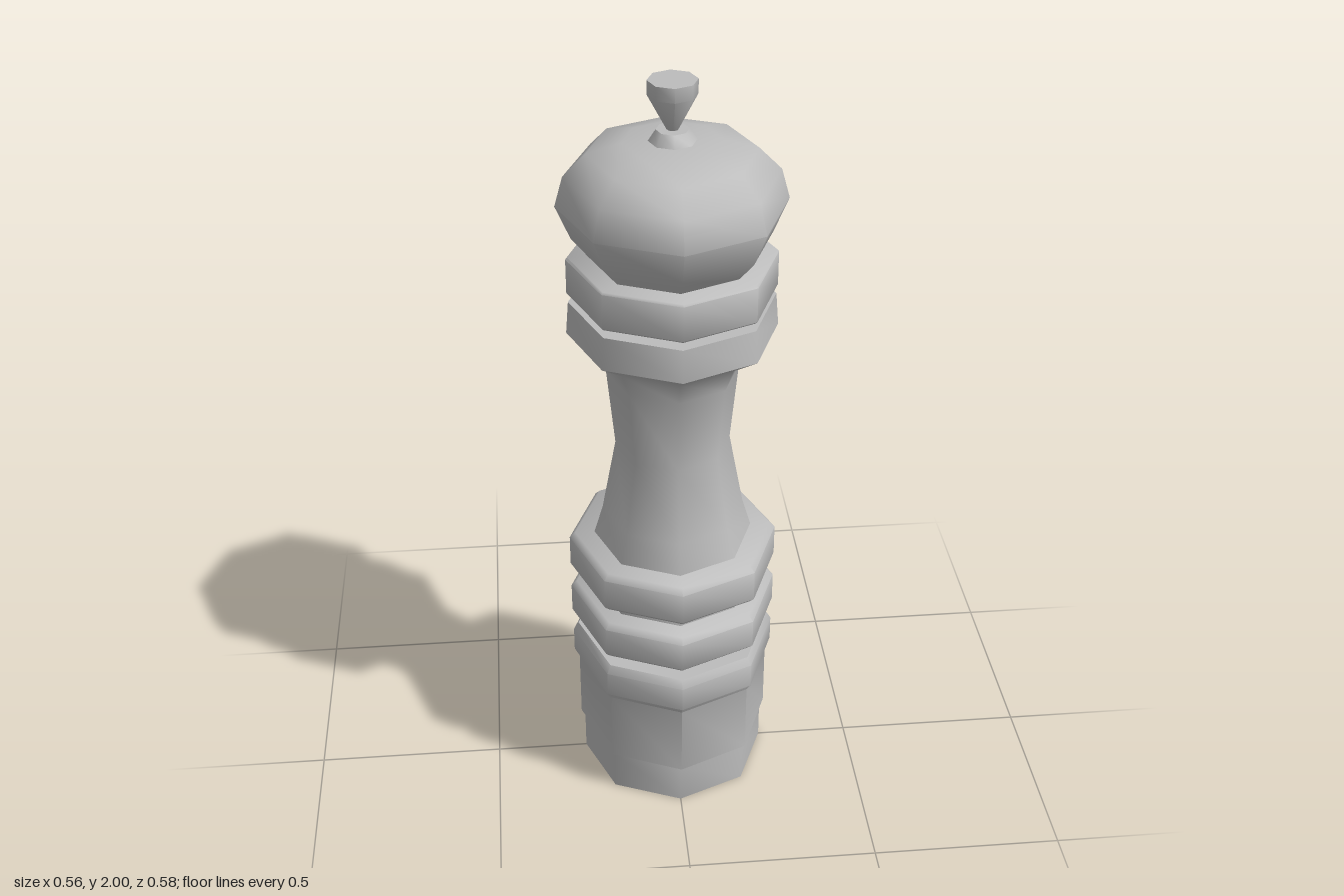
import * as THREE from 'three';
import { toCreasedNormals } from 'three/addons/utils/BufferGeometryUtils.js';

const SIDES = 8;

export function createModel() {
  const model = new THREE.Group();
  model.name = 'pepperMill';
  const grey = new THREE.MeshStandardMaterial({ color: 0xbcbcbc });
  grey.name = 'plain grey';

  // Turned part: profile of [radius, height] from bottom to top, slightly wider in z
  function turned(name, profile, depth = 1.04) {
    const points = profile.map(([r, y]) => new THREE.Vector2(r, y));
    const geometry = new THREE.LatheGeometry(points, SIDES);
    geometry.scale(1, 1, depth);
    const mesh = new THREE.Mesh(toCreasedNormals(geometry, 0.9), grey);
    mesh.name = name;
    model.add(mesh);
  }

  // Bevelled ring closed at both ends
  function ring(name, bottom, top, radius, bevel) {
    turned(name, [
      [0, bottom], [radius - bevel, bottom], [radius, bottom + bevel],
      [radius, top - bevel], [radius - bevel, top], [0, top],
    ]);
  }

  // Foot with a recess underneath
  turned('foot', [
    [0, 0.07], [0.185, 0.07], [0.185, 0], [0.25, 0], [0.25, 0.115], [0, 0.115],
  ], 0.99);
  turned('footGroove', [[0.235, 0.11], [0.235, 0.135]], 1);

  // Lower body with its shoulder ring
  turned('lowerBody', [
    [0, 0.13], [0.26, 0.13], [0.26, 0.335], [0.273, 0.355], [0.273, 0.425],
    [0.26, 0.447], [0, 0.447],
  ]);
  turned('lowerCore', [[0.213, 0.44], [0.213, 0.65]]);
  ring('middleRing', 0.48, 0.59, 0.275, 0.015);
  ring('waistRing', 0.635, 0.75, 0.275, 0.015);

  // Waisted grip flaring into the upper collar
  turned('grip', [
    [0.21, 0.745], [0.185, 0.83], [0.148, 1.03], [0.168, 1.24], [0.192, 1.305],
    [0.264, 1.355], [0.257, 1.44], [0, 1.44],
  ]);
  turned('neck', [[0.21, 1.43], [0.21, 1.47]]);
  ring('headRing', 1.46, 1.56, 0.26, 0.005);

  // Rounded head
  turned('head', [
    [0.2, 1.555], [0.245, 1.61], [0.281, 1.695], [0.26, 1.77], [0.205, 1.825],
    [0.12, 1.85], [0, 1.855],
  ]);

  // Collar and finial knob
  turned('knobCollar', [[0.06, 1.85], [0.04, 1.88], [0, 1.88]]);
  turned('knob', [[0.012, 1.875], [0.06, 1.965], [0.06, 2], [0, 2]]);

  return model;
}
